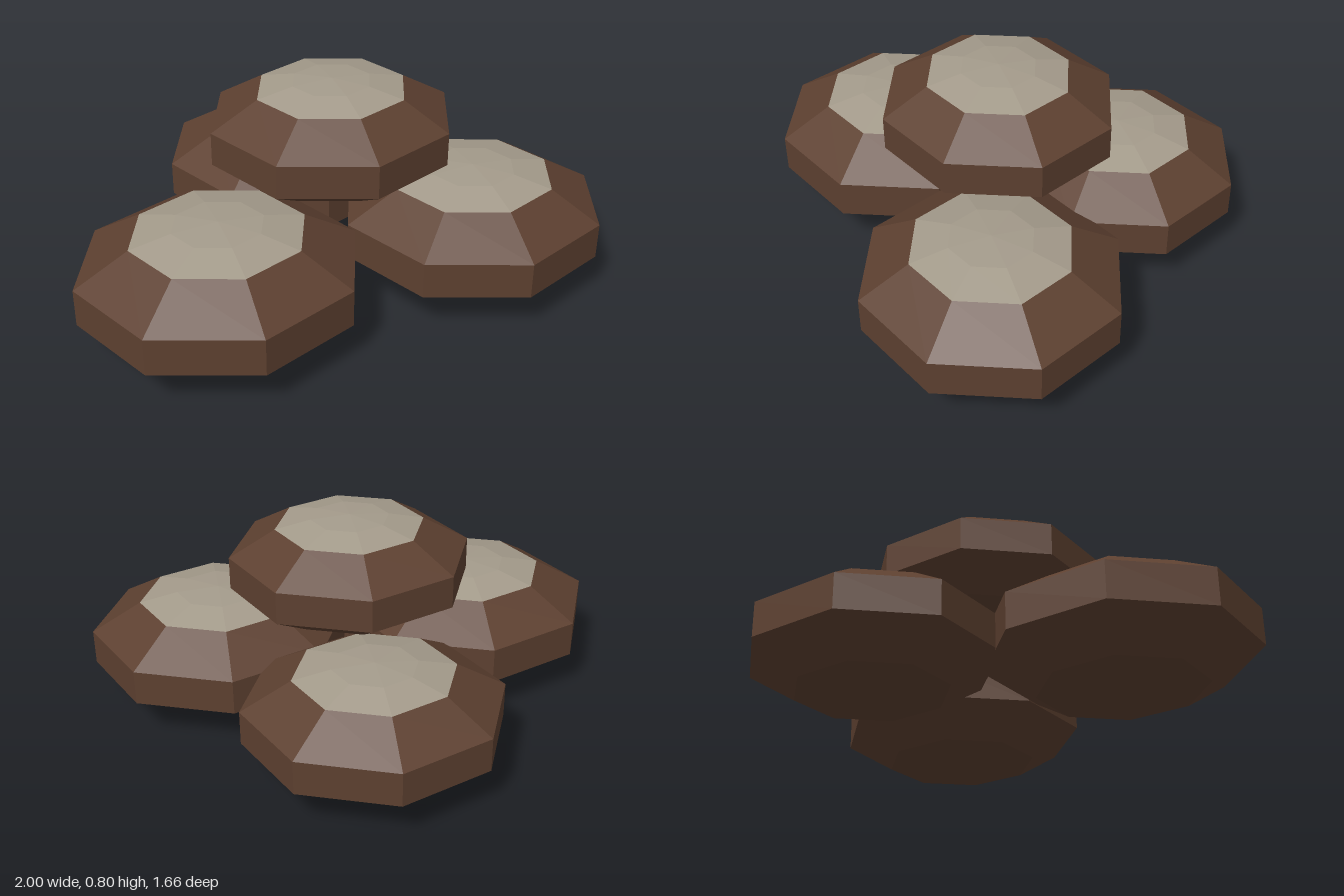
import * as THREE from 'three';

const brown = new THREE.MeshStandardMaterial({ color: 0x5d4030, flatShading: true });
brown.name = 'brown';
const paleGrey = new THREE.MeshStandardMaterial({ color: 0xa49b8b, flatShading: true });
paleGrey.name = 'pale grey';

// Eight-sided, five-ring ball: the topmost ring is the pale cap, the rest the brown body
const RING = Math.PI / 5;
const capGeometry = new THREE.SphereGeometry(1, 8, 1, 0, Math.PI * 2, 0, RING);
const bodyGeometry = new THREE.SphereGeometry(1, 8, 4, 0, Math.PI * 2, RING, Math.PI - RING);

// One flattened lump with its cap
function makeLump(name, radius, x, y, z) {
  const lump = new THREE.Group();
  lump.name = name;
  const body = new THREE.Mesh(bodyGeometry, brown);
  body.name = name + 'Body';
  const cap = new THREE.Mesh(capGeometry, paleGrey);
  cap.name = name + 'Cap';
  lump.add(body, cap);
  lump.scale.set(radius, radius * 0.42, radius * 0.95);
  lump.position.set(x, y, z);
  return lump;
}

export function createModel() {
  const model = new THREE.Group();
  model.name = 'lumpPile';

  // Three lumps on the ground and one resting on top
  const lumps = [
    ['rightLump', 0.536, -0.49, 0.227, 0.34],
    ['leftLump', 0.521, 0.505, 0.228, 0.293],
    ['backLump', 0.507, 0.02, 0.229, -0.375],
    ['topLump', 0.476, 0.02, 0.597, 0.1],
  ];
  for (const lump of lumps) model.add(makeLump(...lump));
  return model;
}
